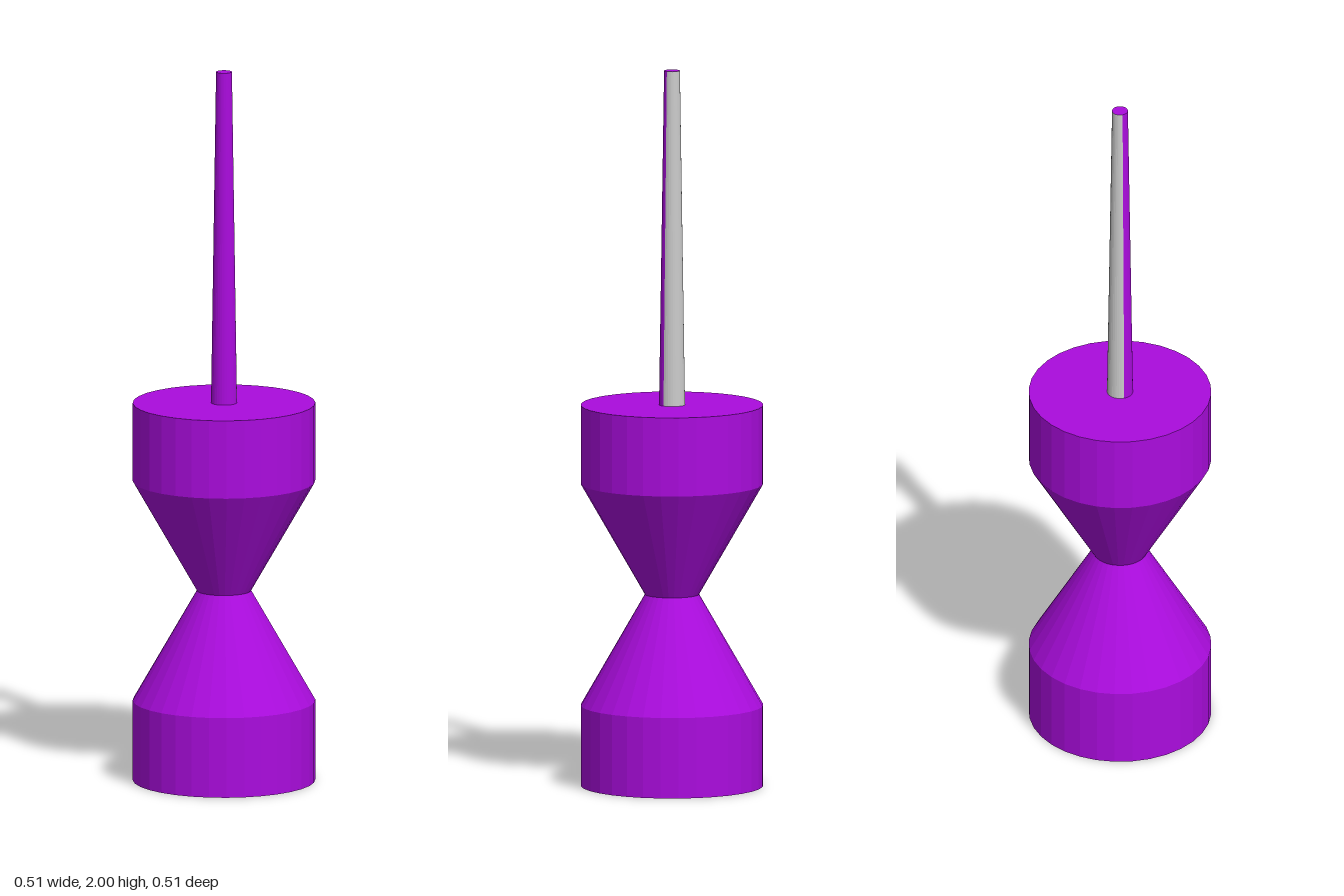
import * as THREE from 'three';

const SIDES = 32;

export function createModel() {
  const model = new THREE.Group();
  const purple = new THREE.MeshStandardMaterial({ color: 0xaa0cdd, flatShading: true });
  const grey = new THREE.MeshStandardMaterial({ color: 0xcccccc, flatShading: true });

  const add = (name, geometry, material, y = 0) => {
    const mesh = new THREE.Mesh(geometry, material);
    mesh.name = name;
    mesh.position.y = y;
    model.add(mesh);
  };

  // Hourglass body: two drums joined by cones at a narrow waist
  const profile = [
    [0, 0], [0.253, 0], [0.253, 0.225], [0.075, 0.535],
    [0.253, 0.845], [0.253, 1.065], [0, 1.065],
  ].map(([r, y]) => new THREE.Vector2(r, y));
  add('body', new THREE.LatheGeometry(profile, SIDES), purple);

  // Tapered stem, split lengthwise into a purple and a grey half
  const bottom = 1.065, height = 2 - bottom;
  const half = (start) => new THREE.CylinderGeometry(
    0.022, 0.036, height, SIDES / 2, 1, true, start, Math.PI);
  add('stemFrontHalf', half(-Math.PI / 4), purple, bottom + height / 2);
  add('stemBackHalf', half(Math.PI * 3 / 4), grey, bottom + height / 2);

  // Flat tip closing the stem
  const tip = new THREE.CircleGeometry(0.022, SIDES).rotateX(-Math.PI / 2);
  add('stemTip', tip, purple, 2);

  return model;
}
